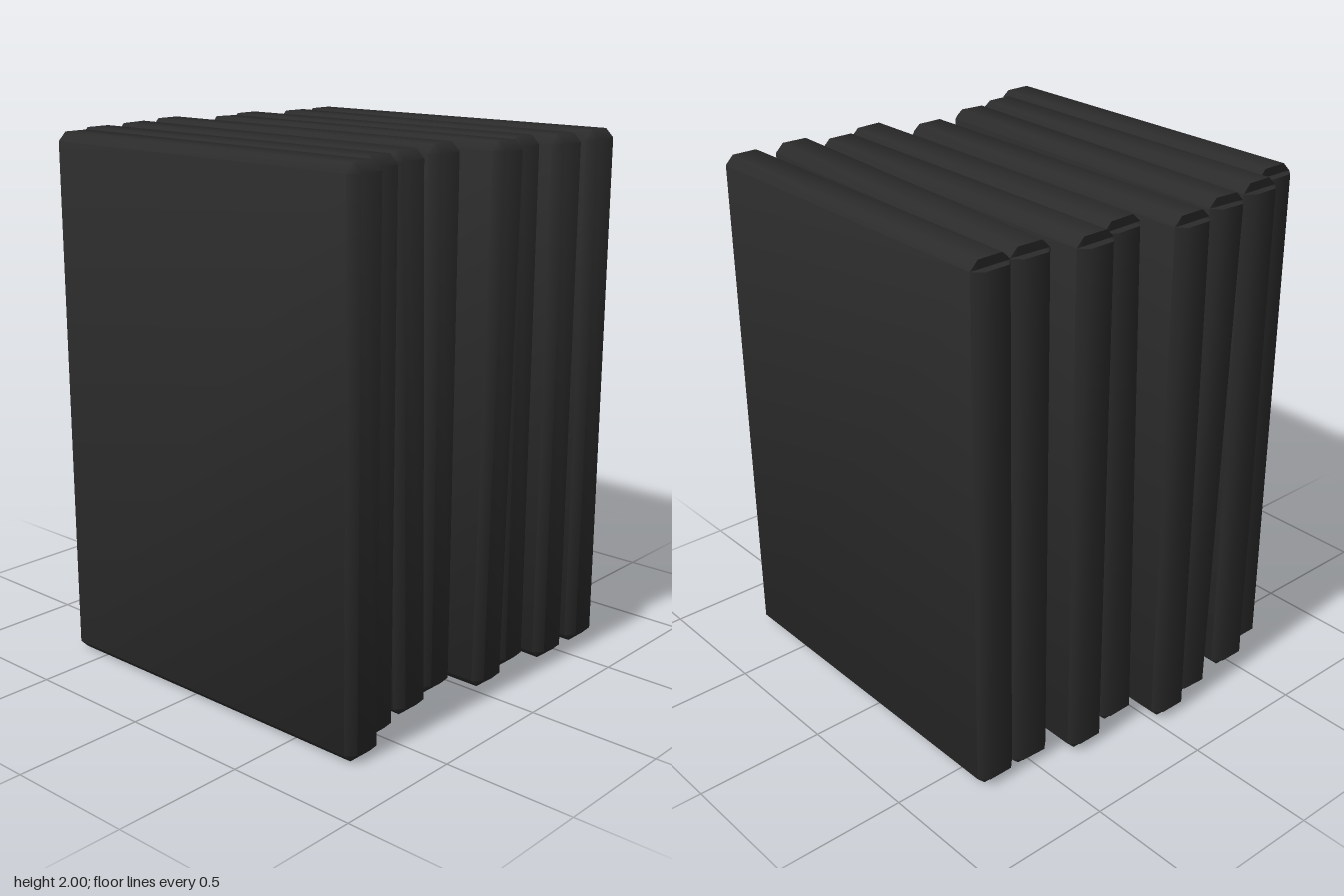
import * as THREE from 'three';
import { toCreasedNormals } from 'three/addons/utils/BufferGeometryUtils.js';

const W = 0.081, H = 1, D = 0.716, C = 0.032; // half width, half height, half depth, chamfer

// Eight-point ring, counter-clockwise from the front; (ax, ay) is the point
// beside the top edge, (bx, by) the point beside the side edge of each corner.
function ring(z, ax, ay, bx, by) {
  return [
    [bx, -by], [bx, by], [ax, ay], [-ax, ay],
    [-bx, by], [-bx, -by], [-ax, -ay], [ax, -ay],
  ].map(([x, y]) => [x, y, z]);
}

// Chamfered slab whose rear strip stops short of the top and bottom
function slabGeometry() {
  const rings = [
    ring(D, W - C, H - C, W - C, H - C),
    ring(D - C, W - C, H, W, H - C),
    ring(-D + C, W - C, H, W, H - C),
    ring(-D + C, W - C, H - C, W, H - C),
    ring(-D, W - C, H - C, W - C, H - C),
  ];
  const n = 8, last = (rings.length - 1) * n, index = [];
  for (let i = 0; i < rings.length - 1; i++) {
    for (let k = 0; k < n; k++) {
      const a = i * n + k, b = i * n + (k + 1) % n;
      index.push(a, a + n, b + n, a, b + n, b);
    }
  }
  // front and back caps
  index.push(0, 1, 4, 0, 4, 5);
  index.push(last, last + 4, last + 1, last, last + 5, last + 4);

  const geometry = new THREE.BufferGeometry();
  geometry.setAttribute('position', new THREE.Float32BufferAttribute(rings.flat(2), 3));
  geometry.setIndex(index);
  return toCreasedNormals(geometry, 1.0);
}

export function createModel() {
  const model = new THREE.Group();
  model.name = 'slabRow';
  const charcoal = new THREE.MeshStandardMaterial({ color: 0x2b2b2b });
  charcoal.name = 'charcoal';
  const geometry = slabGeometry();

  // x, z, yaw, roll of each slab, from right to left
  const places = [
    [-0.655, 0.066, 0, 0],
    [-0.497, -0.002, 0, 0],
    [-0.29, -0.03, -0.024, 0.024],
    [-0.085, -0.073, 0, 0],
    [0.1, 0.042, 0, -0.02],
    [0.281, -0.002, 0, 0],
    [0.467, 0.066, -0.039, 0],
    [0.655, 0.066, 0, 0],
  ];
  places.forEach(([x, z, yaw, roll], i) => {
    const slab = new THREE.Mesh(geometry, charcoal);
    slab.name = `slab${i + 1}`;
    slab.position.set(x, H, z);
    slab.rotation.set(0, yaw, roll);
    model.add(slab);
  });
  return model;
}
